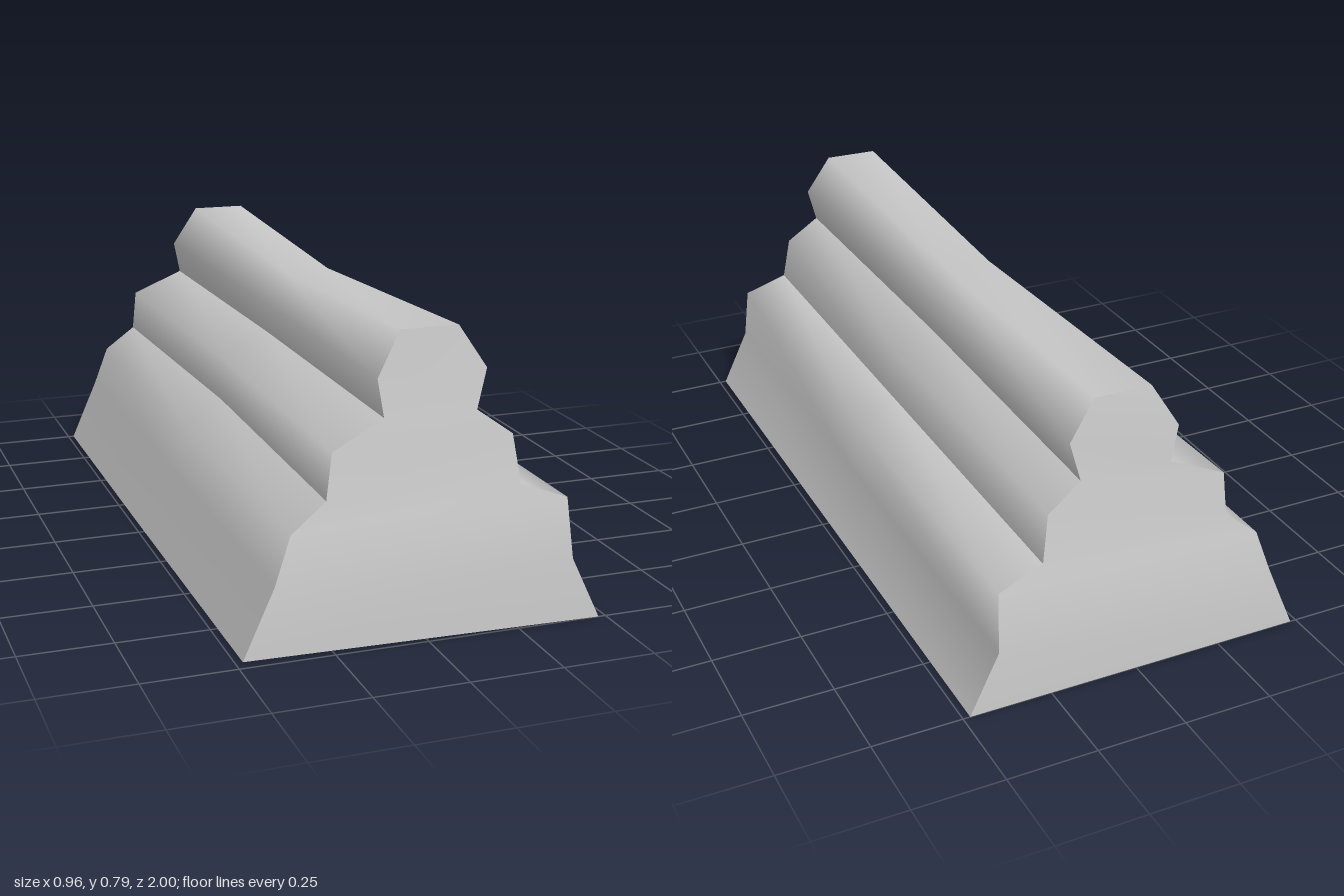
import * as THREE from 'three';

// Each cross-section runs from the bottom of the +x side, over the top, to the bottom of the -x side: [x, y, z]
const sections = [
  // front end
  [[0.48, 0, 1], [0.40, 0.17, 0.995], [0.39, 0.33, 0.97], [0.263, 0.377, 0.957], [0.244, 0.506, 0.94], [0.148, 0.575, 0.93],
    [0.178, 0.678, 0.917], [0.105, 0.79, 0.903], [-0.05, 0.79, 0.9], [-0.113, 0.673, 0.912], [-0.099, 0.575, 0.923],
    [-0.238, 0.503, 0.932], [-0.257, 0.385, 0.945], [-0.353, 0.312, 0.957], [-0.40, 0.19, 0.975], [-0.483, 0.005, 0.975]],
  // middle, where the ridge sags and narrows
  [[0.48, 0, 0], [0.40, 0.17, 0], [0.39, 0.33, 0], [0.263, 0.377, 0], [0.244, 0.506, 0], [0.14, 0.575, 0],
    [0.147, 0.66, 0], [0.09, 0.755, 0], [-0.045, 0.755, 0], [-0.103, 0.665, 0], [-0.095, 0.575, 0],
    [-0.228, 0.503, 0], [-0.242, 0.385, 0], [-0.353, 0.312, 0], [-0.40, 0.19, 0], [-0.483, 0, 0]],
  // back end
  [[0.48, 0, -1], [0.40, 0.17, -0.998], [0.39, 0.33, -0.972], [0.263, 0.377, -0.963], [0.244, 0.506, -0.947], [0.15, 0.575, -0.938],
    [0.178, 0.682, -0.928], [0.109, 0.79, -0.92], [-0.05, 0.79, -0.922], [-0.124, 0.67, -0.94], [-0.104, 0.572, -0.945],
    [-0.259, 0.505, -0.955], [-0.269, 0.382, -0.965], [-0.36, 0.31, -0.978], [-0.40, 0.19, -0.997], [-0.483, 0, -1]],
];

function smoothGeometry(points, index) {
  const geometry = new THREE.BufferGeometry();
  geometry.setAttribute('position', new THREE.Float32BufferAttribute(points.flat(), 3));
  geometry.setIndex(index);
  geometry.computeVertexNormals();
  return geometry;
}

// Smooth strip between profile points from and to, along the whole length
function moulding(from, to) {
  const n = to - from + 1;
  const points = sections.flatMap((s) => s.slice(from, to + 1));
  const index = [];
  for (let s = 0; s < sections.length - 1; s++) {
    for (let i = 0; i < n - 1; i++) {
      const a = s * n + i, b = a + 1, c = a + n, d = c + 1;
      index.push(a, c, b, b, c, d);
    }
  }
  return smoothGeometry(points, index);
}

// End wall: rungs joining the two sides of a cross-section
function endWall(points, facesBack) {
  const last = points.length - 1;
  const index = [];
  for (let i = 0; i < points.length / 2 - 1; i++) {
    const r = i, l = last - i;
    if (facesBack) index.push(l, r + 1, r, l, l - 1, r + 1);
    else index.push(l, r, r + 1, l, r + 1, l - 1);
  }
  return smoothGeometry(points, index);
}

export function createModel() {
  const stone = new THREE.MeshStandardMaterial({ color: 0xcccccc, side: THREE.DoubleSide });
  const group = new THREE.Group();
  group.name = 'mouldedRidge';
  const add = (name, geometry) => {
    const mesh = new THREE.Mesh(geometry, stone);
    mesh.name = name;
    group.add(mesh);
  };

  // Mouldings meet at the sharp inner creases; the underside is open
  add('leftBase', moulding(0, 3));
  add('leftStep', moulding(3, 5));
  add('topRidge', moulding(5, 10));
  add('rightStep', moulding(10, 12));
  add('rightBase', moulding(12, 15));

  add('frontWall', endWall(sections[0], false));
  add('backWall', endWall(sections[2], true));
  return group;
}
